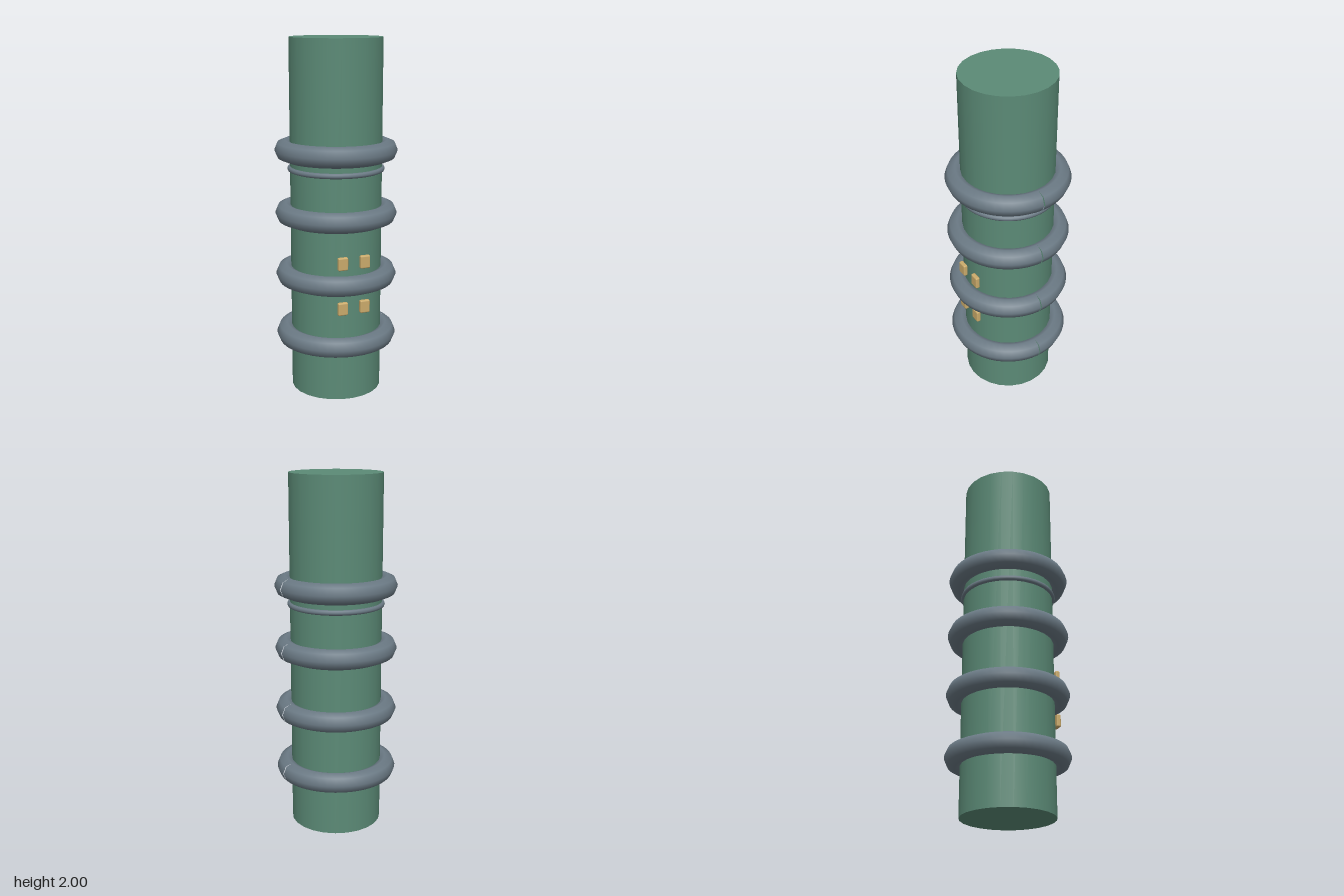
import * as THREE from 'three';
import { RoundedBoxGeometry } from 'three/addons/geometries/RoundedBoxGeometry.js';

export function createModel() {
  const model = new THREE.Group();
  model.name = 'ringedColumn';

  const green = new THREE.MeshStandardMaterial({ color: 0x5b8a76 });
  green.name = 'green';
  const slate = new THREE.MeshStandardMaterial({ color: 0x6b7a85 });
  slate.name = 'slate grey';
  const gold = new THREE.MeshStandardMaterial({ color: 0xcbab6b });
  gold.name = 'gold';

  const add = (name, geometry, material, x, y, z) => {
    const mesh = new THREE.Mesh(geometry, material);
    mesh.name = name;
    mesh.position.set(x, y, z);
    model.add(mesh);
    return mesh;
  };

  // Column
  add('column', new THREE.CylinderGeometry(0.257, 0.257, 2, 24), green, 0, 1, 0);

  // Thick rings: an open tube bent round to meet itself, with a narrow seam at +x
  const steps = 48;
  const points = [];
  for (let i = 0; i <= steps; i++) {
    const a = (i / steps) * Math.PI * 2;
    points.push(new THREE.Vector3(Math.cos(a) * 0.284, 0, Math.sin(a) * 0.284));
  }
  const ringGeometry = new THREE.TubeGeometry(new THREE.CatmullRomCurve3(points), steps, 0.058, 8, false);
  [0.323, 0.678, 1.033, 1.388].forEach((y, i) => add(`thickRing${i + 1}`, ringGeometry, slate, 0, y, 0));

  // Thin ring below the top thick ring
  const thinRing = add('thinRing', new THREE.TorusGeometry(0.257, 0.0148, 8, 48), slate, 0, 1.283, 0);
  thinRing.rotation.x = Math.PI / 2;

  // Two rows of small front plates
  const plateGeometry = new RoundedBoxGeometry(0.058, 0.073, 0.026, 2, 0.008);
  for (const y of [0.545, 0.802]) {
    for (const side of [-1, 1]) {
      add(side > 0 ? 'leftPlate' : 'rightPlate', plateGeometry, gold, side * 0.065, y, 0.262);
    }
  }

  return model;
}
